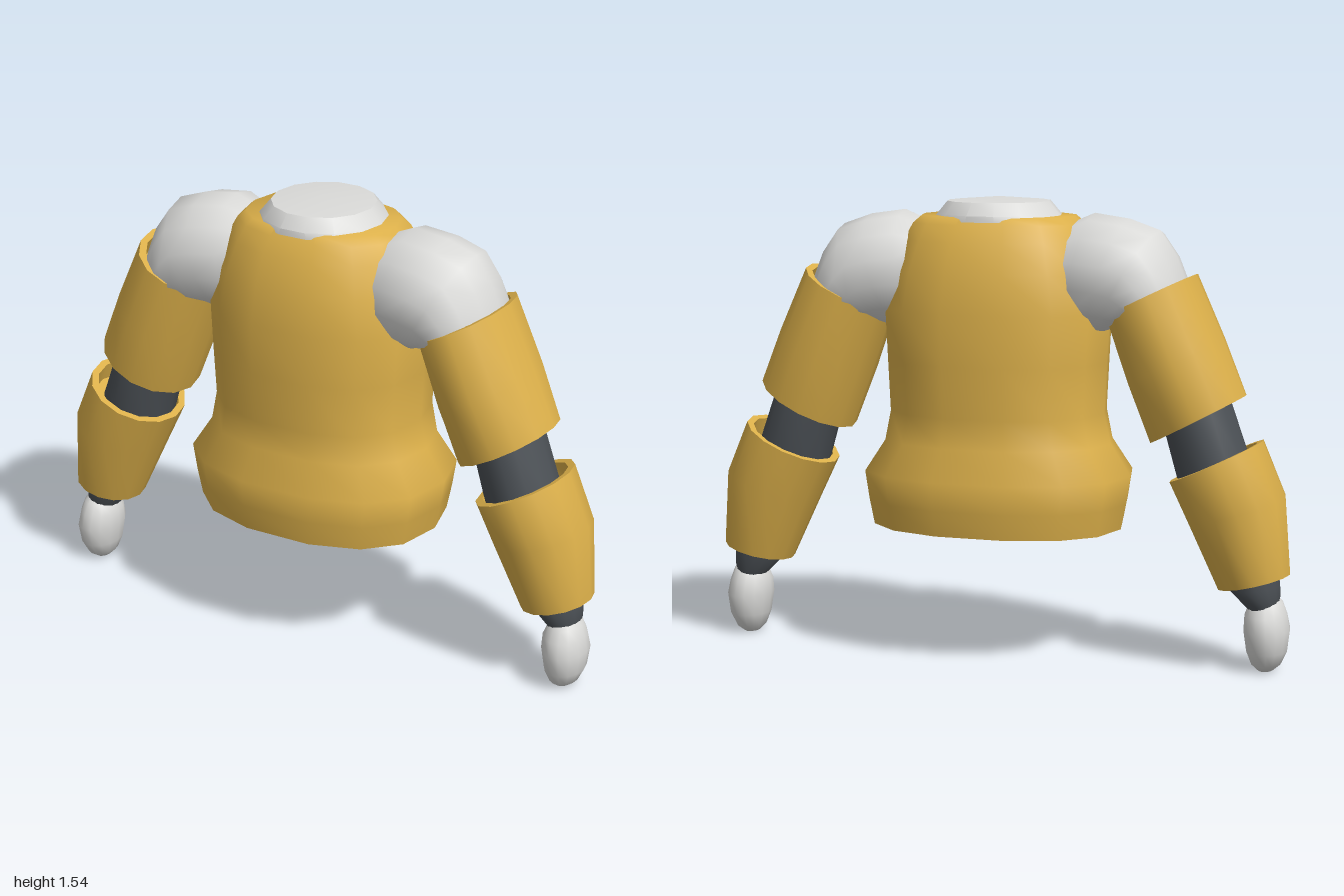
import * as THREE from 'three';
import { toCreasedNormals } from 'three/addons/utils/BufferGeometryUtils.js';

const SIDES = 14;
const material = (name, color) => {
  const m = new THREE.MeshStandardMaterial({ color });
  m.name = name;
  return m;
};

// Skins a list of rings, bottom to top. Each ring is [outerX, outerY, innerX, innerY, halfDepth];
// a ring with no depth is a closing point. Power above 2 makes the rings boxier.
function loft(rings, power = 2, crease = 0.9) {
  const pos = [], index = [];
  const bend = v => Math.sign(v) * Math.abs(v) ** (2 / power);
  for (const [ax, ay, bx, by, d] of rings) {
    for (let j = 0; j < SIDES; j++) {
      const t = (j / SIDES) * Math.PI * 2;
      const c = bend(Math.cos(t)), s = bend(Math.sin(t));
      pos.push((ax + bx) / 2 + c * (ax - bx) / 2, (ay + by) / 2 + c * (ay - by) / 2, s * d);
    }
  }
  for (let i = 0; i < rings.length - 1; i++) {
    for (let j = 0; j < SIDES; j++) {
      const k = (j + 1) % SIDES, lo = i * SIDES, hi = lo + SIDES;
      if (rings[i + 1][4] > 0) index.push(lo + j, hi + j, hi + k);
      if (rings[i][4] > 0) index.push(lo + j, hi + k, lo + k);
    }
  }
  const g = new THREE.BufferGeometry();
  g.setAttribute('position', new THREE.Float32BufferAttribute(pos, 3));
  g.setIndex(index);
  return toCreasedNormals(g, crease);
}

const level = (y, w, d, x = 0) => [x + w, y, x - w, y, d];
const mid = ([ax, ay, bx, by]) => [(ax + bx) / 2, (ay + by) / 2];
const point = r => { const [x, y] = mid(r); return [x, y, x, y, 0]; };
const closed = rings => [point(rings[0]), ...rings, point(rings[rings.length - 1])];

// Sunken rim at the end of a sleeve: narrower lip, then a floor pushed inwards by (dx, dy)
function recess(r, dx, dy) {
  const [x, y] = mid(r), k = 0.86;
  const lip = [x + (r[0] - x) * k, y + (r[1] - y) * k, x + (r[2] - x) * k, y + (r[3] - y) * k, r[4] * k];
  const floor = [lip[0] + dx, lip[1] + dy, lip[2] + dx, lip[3] + dy, lip[4]];
  return [point(floor), floor, lip];
}
function sleeve(rings, dx, dy) {
  const low = recess(rings[0], -dx, dy);
  const high = recess(rings[rings.length - 1], dx, -dy).reverse();
  return [...low, ...rings, ...high];
}

export function createModel() {
  const yellow = material('yellow', 0xdcb04a);
  const white = material('white', 0xdadad8);
  const dark = material('dark grey', 0x4b5055);

  const model = new THREE.Group();
  model.name = 'armouredTorso';
  const add = (parent, name, geometry, mat) => {
    const mesh = new THREE.Mesh(geometry, mat);
    mesh.name = name;
    parent.add(mesh);
    return mesh;
  };

  // Torso with flared hem
  add(model, 'torso', loft([
    level(0.422, 0, 0), level(0.445, 0.425, 0.318), level(0.53, 0.442, 0.33),
    level(0.625, 0.457, 0.338), level(0.73, 0.388, 0.285), level(0.83, 0.365, 0.288),
    level(1.0, 0.373, 0.296), level(1.17, 0.383, 0.293), level(1.3, 0.355, 0.275),
    level(1.4, 0.32, 0.24), level(1.455, 0.29, 0.21), level(1.48, 0.26, 0.19), level(1.481, 0, 0),
  ], 2.35), yellow);

  // Neck collar
  add(model, 'collar', loft([
    level(1.465, 0, 0), level(1.465, 0.222, 0.21), level(1.485, 0.207, 0.207),
    level(1.527, 0.172, 0.174), level(1.541, 0, 0),
  ], 2, 0.5), white);

  for (const side of [1, -1]) {
    const arm = new THREE.Group();
    arm.name = side > 0 ? 'leftArm' : 'rightArm';
    if (side < 0) arm.rotation.y = Math.PI;
    model.add(arm);

    // Shoulder dome, bending from the arm into the torso
    add(arm, 'shoulder', loft(closed([
      [0.655, 1.22, 0.43, 1.12, 0.185], [0.64, 1.27, 0.41, 1.13, 0.2], [0.605, 1.36, 0.38, 1.11, 0.205],
      [0.55, 1.44, 0.36, 1.1, 0.207], [0.45, 1.475, 0.33, 1.1, 0.205],
      [0.33, 1.492, 0.27, 1.1, 0.19], [0.23, 1.45, 0.2, 1.14, 0.15],
    ])), white);

    // Upper arm sleeve
    add(arm, 'upperSleeve', loft(sleeve([
      [0.84, 0.91, 0.53, 0.745, 0.193], [0.765, 1.09, 0.455, 0.94, 0.213], [0.67, 1.3, 0.38, 1.155, 0.21],
    ], 0.025, 0.06)), yellow);

    // Elbow
    add(arm, 'elbow', loft(closed([
      [0.875, 0.66, 0.64, 0.56, 0.125], [0.85, 0.72, 0.617, 0.64, 0.135],
      [0.795, 0.875, 0.575, 0.79, 0.135], [0.76, 0.96, 0.545, 0.86, 0.13],
    ])), dark);

    // Forearm sleeve
    add(arm, 'forearmSleeve', loft(sleeve([
      [0.997, 0.33, 0.76, 0.272, 0.13], [0.977, 0.585, 0.66, 0.485, 0.177], [0.9, 0.765, 0.595, 0.62, 0.186],
    ], 0.02, 0.06)), yellow);

    // Wrist
    add(arm, 'wrist', loft(closed([
      [0.95, 0.19, 0.88, 0.17, 0.05], [0.965, 0.25, 0.862, 0.208, 0.07],
      [0.965, 0.29, 0.8, 0.268, 0.082], [0.955, 0.38, 0.79, 0.34, 0.082],
    ])), dark);

    // Rounded hand
    const hand = add(arm, 'hand', loft(closed([
      level(0.004, 0.025, 0.035, 0.918), level(0.025, 0.048, 0.065, 0.92), level(0.07, 0.067, 0.09, 0.922),
      level(0.14, 0.076, 0.104, 0.921), level(0.19, 0.07, 0.092, 0.917),
      [0.972, 0.232, 0.86, 0.222, 0.072], [0.95, 0.258, 0.87, 0.236, 0.05],
    ])), white);
    hand.position.z = 0.01 * side;
  }
  return model;
}
